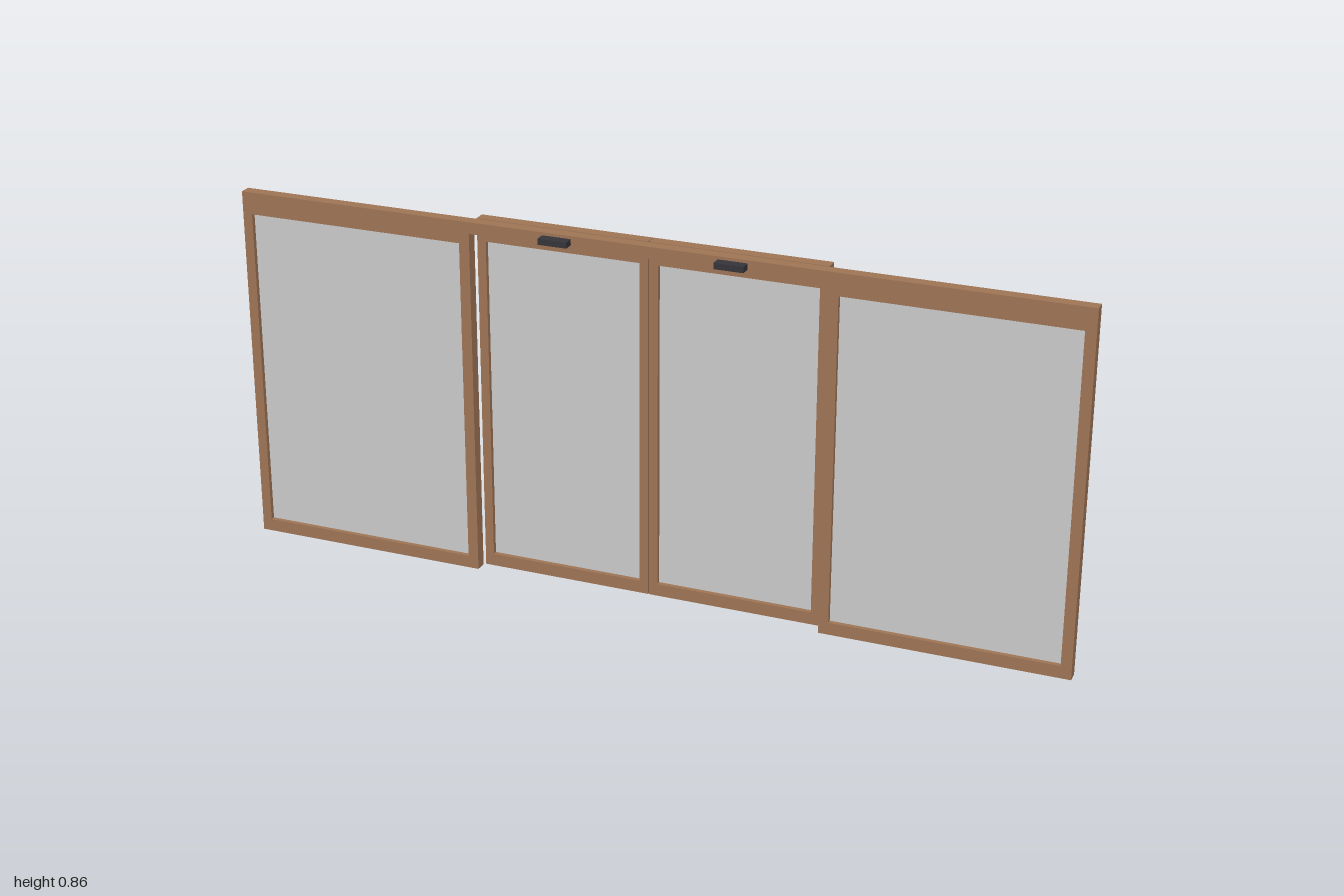
import * as THREE from 'three';

const H = 0.863, DEPTH = 0.028;
const SILL = 0.03, HEAD = 0.81;   // glazed opening, bottom and top
const FRONT_Z = -0.01, BACK_Z = -0.042;

const wood = new THREE.MeshStandardMaterial({ color: 0xa07656 });
const dark = new THREE.MeshStandardMaterial({ color: 0x35353a });
const glass = new THREE.MeshStandardMaterial({ color: 0xcccccc });

function add(parent, name, geometry, material, x = 0, y = 0, z = 0) {
  const mesh = new THREE.Mesh(geometry, material);
  mesh.name = name;
  mesh.position.set(x, y, z);
  parent.add(mesh);
}

const polygon = (Type, points) => new Type(points.map(([x, y]) => new THREE.Vector2(x, y)));

const opening = (x0, x1) =>
  polygon(THREE.Path, [[x0, SILL], [x0, HEAD], [x1, HEAD], [x1, SILL]]);

// Flat wooden frame with rectangular openings, back face at z
function addFrame(parent, name, outline, openings, z) {
  const shape = polygon(THREE.Shape, outline);
  shape.holes = openings.map(([x0, x1]) => opening(x0, x1));
  const geometry = new THREE.ExtrudeGeometry(shape, { depth: DEPTH, bevelEnabled: false });
  add(parent, name, geometry, wood, 0, 0, z);
  for (const [x0, x1] of openings) {
    add(parent, 'glassPane', new THREE.BoxGeometry(x1 - x0, HEAD - SILL, 0.006), glass,
      (x0 + x1) / 2, (HEAD + SILL) / 2, z + DEPTH / 2);
  }
}

export function createModel() {
  const model = new THREE.Group();
  model.name = 'slidingDoor';

  // Fixed side panels joined by a header over the doorway
  const post = 0.422, header = 0.835;
  addFrame(model, 'fixedFrame', [
    [-1, 0], [-post, 0], [-post, header], [post, header],
    [post, 0], [1, 0], [1, H], [-1, H],
  ], [[-0.977, -0.447], [0.445, 0.975]], FRONT_Z);

  // Two sliding leaves behind the fixed frame
  for (const [name, x0, x1] of [['rightLeaf', -0.417, -0.003], ['leftLeaf', -0.001, 0.414]]) {
    const leaf = new THREE.Group();
    leaf.name = name;
    addFrame(leaf, 'leafFrame', [[x0, 0], [x1, 0], [x1, H], [x0, H]],
      [[x0 + 0.021, x1 - 0.021]], BACK_Z);
    model.add(leaf);
  }

  // Motion sensors on the header
  for (const x of [-0.208, 0.205]) {
    add(model, 'motionSensor', new THREE.BoxGeometry(0.069, 0.014, 0.025), dark,
      x, 0.849, FRONT_Z + DEPTH + 0.0125);
  }
  return model;
}
